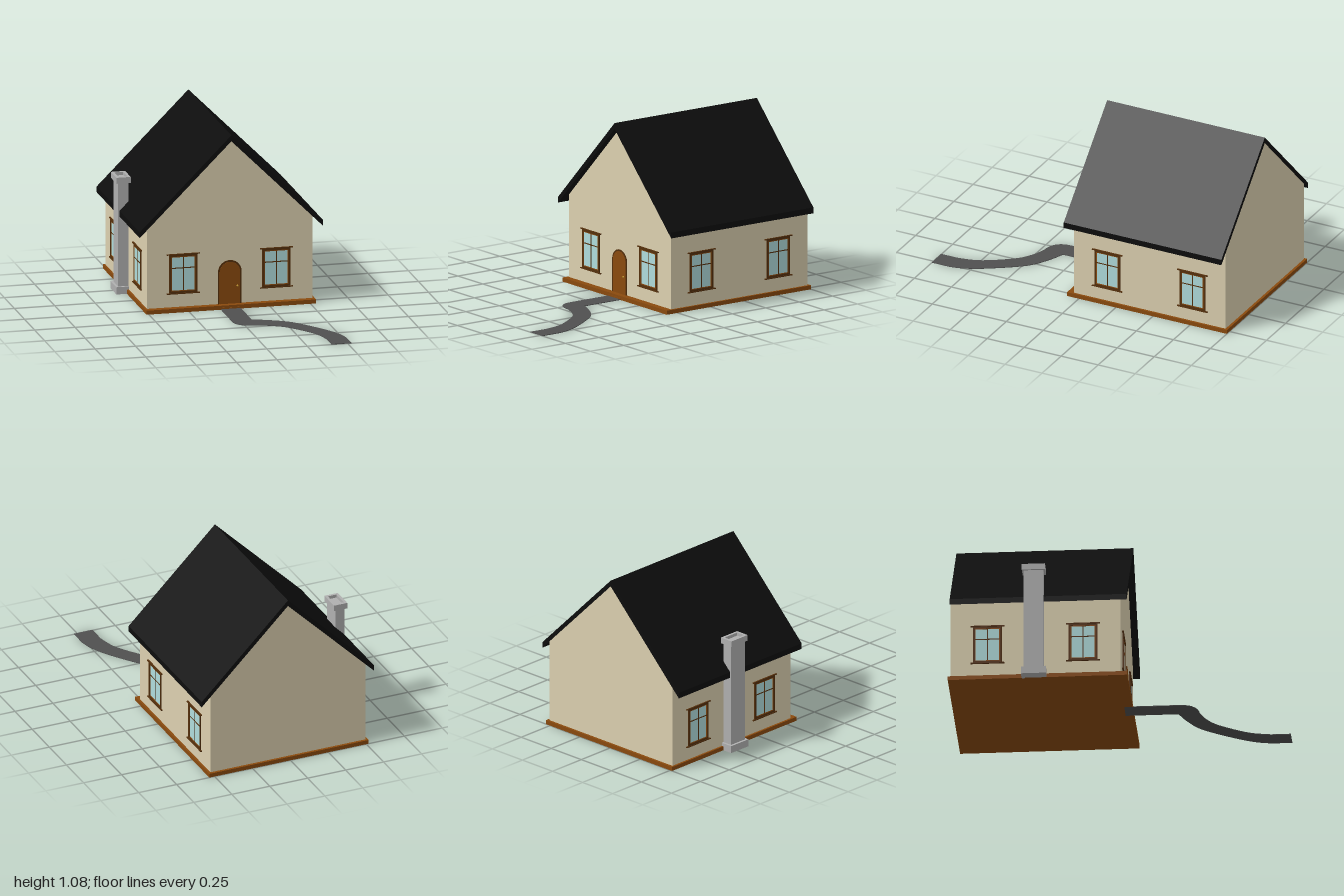
import * as THREE from 'three';

const mat = (color) => new THREE.MeshStandardMaterial({ color });
const M = {
  wall: mat(0xdcd0b0), roof: mat(0x0d0d0d), wood: mat(0x8a4a0e), frame: mat(0x55300c),
  glass: mat(0xb0dcdc), stone: mat(0xb0b0b0), path: mat(0x505050), brass: mat(0xc89a30),
};

function add(parent, name, geometry, material) {
  const mesh = new THREE.Mesh(geometry, material);
  mesh.name = name;
  parent.add(mesh);
  return mesh;
}

// Box given by its lower and upper corners
function box(parent, name, material, x0, x1, y0, y1, z0, z1) {
  const mesh = add(parent, name, new THREE.BoxGeometry(x1 - x0, y1 - y0, z1 - z0), material);
  mesh.position.set((x0 + x1) / 2, (y0 + y1) / 2, (z0 + z1) / 2);
  return mesh;
}

const polygon = (pts) => new THREE.Shape(pts.map(([x, y]) => new THREE.Vector2(x, y)));

function extrude(shape, z0, z1, curveSegments = 16) {
  return new THREE.ExtrudeGeometry(shape, { depth: z1 - z0, bevelEnabled: false, curveSegments })
    .translate(0, 0, z0);
}

function rect(w, h) {
  return [[-w, -h], [w, -h], [w, h], [-w, h]];
}

function ring(w, h, t) {
  const shape = polygon(rect(w, h));
  shape.holes.push(polygon(rect(w - t, h - t).reverse()));
  return shape;
}

// Window standing on a wall at local z = 0, facing +z
function makeWindow(name) {
  const g = new THREE.Group();
  g.name = name;
  const w = 0.087, h = 0.12;
  box(g, 'glass', M.glass, -w + 0.01, w - 0.01, -h + 0.01, h - 0.01, -0.005, 0.002);
  add(g, 'outerFrame', extrude(ring(w, h, 0.012), -0.005, 0.006), M.frame);
  add(g, 'innerFrame', extrude(ring(w - 0.011, h - 0.011, 0.006), -0.005, 0.004), M.wood);
  box(g, 'verticalBar', M.frame, -0.003, 0.003, -h + 0.01, h - 0.01, -0.005, 0.004);
  box(g, 'crossBar', M.frame, -w + 0.01, w - 0.01, 0.033, 0.039, -0.005, 0.004);
  for (const s of [-1, 1]) {
    const y = s * (h + 0.002);
    box(g, s < 0 ? 'sill' : 'lintel', M.frame, -0.102, 0.102, y - 0.003, y + 0.003, -0.005, 0.01);
  }
  return g;
}

// Round-topped door outline, centred on x = 0
function archShape(r, y0, spring) {
  const s = new THREE.Shape();
  s.moveTo(-r, y0);
  s.lineTo(r, y0);
  s.lineTo(r, spring);
  s.absarc(0, spring, r, 0, Math.PI, false);
  s.lineTo(-r, y0);
  return s;
}

function makeDoor() {
  const g = new THREE.Group();
  g.name = 'door';
  const spring = 0.222;
  add(g, 'doorFrame', extrude(archShape(0.073, 0.02, spring), -0.005, 0.004, 24), M.frame);
  add(g, 'doorPanel', extrude(archShape(0.063, 0.02, spring), -0.005, 0.006, 24), M.wood);
  add(g, 'doorKnob', new THREE.SphereGeometry(0.006, 12, 8), M.brass).position.set(0.046, 0.135, 0.009);
  return g;
}

function makeChimney() {
  const g = new THREE.Group();
  g.name = 'chimney';
  box(g, 'chimneyFoot', M.stone, -0.58, -0.5, 0, 0.045, -0.555, -0.405);
  box(g, 'chimneyShaft', M.stone, -0.565, -0.503, 0.04, 0.705, -0.54, -0.42);
  // Hollow cap
  const cap = add(g, 'chimneyCap', extrude(ring(0.044, 0.07, 0.016), 0, 0.037), M.stone);
  cap.rotation.x = -Math.PI / 2;
  cap.position.set(-0.534, 0.688, -0.48);
  return g;
}

// Flat winding path, drawn in x and z
function makePath() {
  const v = (x, z) => new THREE.Vector2(x, z);
  const s = new THREE.Shape();
  s.moveTo(-0.055, 0.03);
  s.lineTo(0.068, 0.03);
  s.lineTo(0.068, 0.348);
  s.splineThru([v(0.18, 0.395), v(0.3, 0.478), v(0.437, 0.667), v(0.5, 0.79), v(0.522, 0.88)]);
  s.lineTo(0.522, 1);
  s.lineTo(0.4, 1);
  s.lineTo(0.4, 0.88);
  s.splineThru([v(0.363, 0.745), v(0.25, 0.58), v(0.16, 0.51), v(0.07, 0.475)]);
  s.bezierCurveTo(0, 0.475, -0.055, 0.44, -0.055, 0.36);
  s.lineTo(-0.055, 0.03);
  const geometry = extrude(s, 0, 0.004, 10);
  geometry.rotateX(Math.PI / 2).translate(0, 0.004, 0);
  return geometry;
}

export function createModel() {
  const house = new THREE.Group();
  house.name = 'house';
  const cx = 0.01, left = 0.521, right = -0.502, front = 0.04, back = -0.985;

  // Base and gabled walls
  box(house, 'base', M.wood, -0.515, 0.535, 0, 0.025, -1, 0.08);
  const walls = polygon([[right, 0.02], [left, 0.02], [left, 0.545], [cx, 1.05], [right, 0.545]]);
  add(house, 'walls', extrude(walls, back + 0.001, front), M.wall);

  // Roof
  const roof = polygon([
    [-0.557, 0.48], [cx, 1.045], [0.578, 0.48], [0.578, 0.516], [cx, 1.082], [-0.557, 0.516],
  ]);
  add(house, 'roof', extrude(roof, back, 0.08), M.roof);

  // Windows: two each on the front, left and right walls
  for (const s of [-1, 1]) {
    const w = makeWindow(s < 0 ? 'frontRightWindow' : 'frontLeftWindow');
    w.position.set(cx + s * 0.288, 0.231, front);
    house.add(w);
    for (const z of [-0.187, -0.762]) {
      const side = makeWindow(s < 0 ? 'rightWindow' : 'leftWindow');
      side.position.set(s < 0 ? right : left, 0.231, z);
      side.rotation.y = s * Math.PI / 2;
      house.add(side);
    }
  }

  // Entrance
  const door = makeDoor();
  door.position.set(cx, 0, front);
  house.add(door);
  box(house, 'doorStep', M.wood, -0.055, 0.075, 0.001, 0.012, 0.05, 0.083);
  add(house, 'path', makePath(), M.path);

  house.add(makeChimney());
  return house;
}
